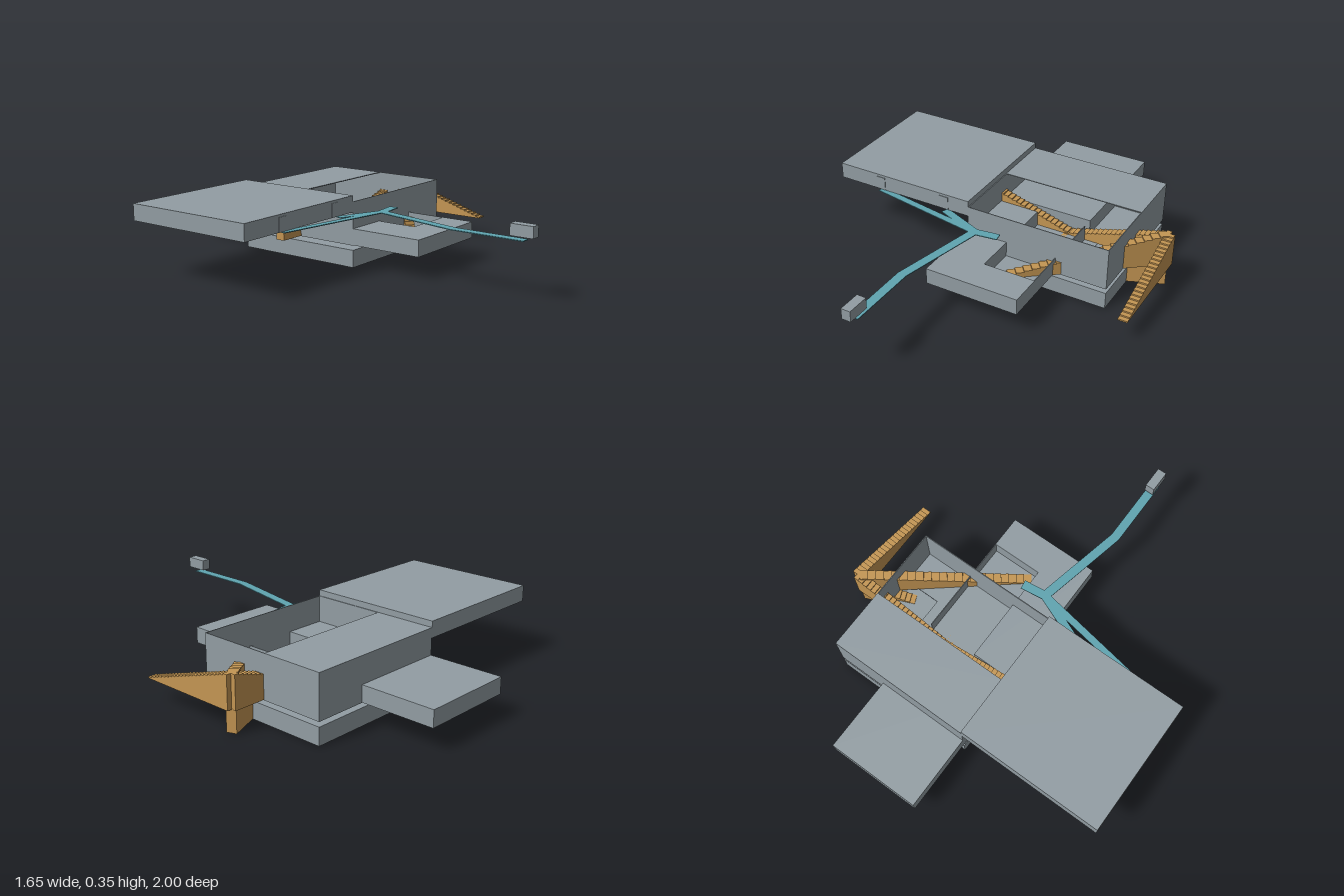
import * as THREE from 'three';

export function createModel() {
  const model = new THREE.Group();
  const gray = new THREE.MeshStandardMaterial({ color: 0x929da3 });
  gray.name = 'grayVolume';
  const orange = new THREE.MeshStandardMaterial({ color: 0xc49653 });
  orange.name = 'orangeStair';
  const teal = new THREE.MeshStandardMaterial({ color: 0x5fa4b0 });
  teal.name = 'tealPath';

  const add = (name, geometry, material) => {
    const mesh = new THREE.Mesh(geometry, material);
    mesh.name = name;
    model.add(mesh);
    return mesh;
  };

  // Box given by its limits on each axis
  const box = (name, x0, x1, y0, y1, z0, z1, material = gray) =>
    add(name, new THREE.BoxGeometry(x1 - x0, y1 - y0, z1 - z0), material)
      .position.set((x0 + x1) / 2, (y0 + y1) / 2, (z0 + z1) / 2);

  // Solid stepped flight falling from the first plan point to the second
  const stair = (name, [x0, z0], [x1, z1], base, rise, steps = 22, width = 0.047) => {
    const length = Math.hypot(x1 - x0, z1 - z0);
    const shape = new THREE.Shape();
    shape.moveTo(0, 0);
    shape.lineTo(length, 0);
    for (let i = 1; i <= steps; i++) {
      const y = rise * i / steps;
      shape.lineTo(length * (1 - (i - 1) / steps), y);
      shape.lineTo(length * (1 - i / steps), y);
    }
    shape.closePath();
    const geometry = new THREE.ExtrudeGeometry(shape, { depth: width, bevelEnabled: false });
    geometry.translate(0, 0, -width / 2);
    const mesh = add(name, geometry, orange);
    mesh.position.set(x0, base, z0);
    mesh.rotation.y = -Math.atan2(z1 - z0, x1 - x0);
  };

  // Flat strip along a run of plan points
  const path = (name, points, width = 0.045) => {
    for (let i = 1; i < points.length; i++) {
      const [x0, z0] = points[i - 1], [x1, z1] = points[i];
      const length = Math.hypot(x1 - x0, z1 - z0);
      const mesh = add(name, new THREE.BoxGeometry(length + 0.008, 0.004, width), teal);
      mesh.position.set((x0 + x1) / 2, 0.268, (z0 + z1) / 2);
      mesh.rotation.y = -Math.atan2(z1 - z0, x1 - x0);
    }
  };

  // Base and upper wing
  box('base', -0.09, 0.64, 0, 0.085, -0.63, 0.05);
  box('upperWing', -0.83, -0.09, 0.27, 0.35, -0.63, 0.05);

  // Main hall: thin walls, half roof, floor with a stair opening
  const t = 0.004;
  box('hallFrontWall', -0.09, 0.64, 0.11, 0.32, 0.05 - t, 0.05);
  box('hallBackWall', -0.09, 0.64, 0.11, 0.32, -0.63, -0.63 + t);
  box('hallLeftWall', 0.64 - t, 0.64, 0.11, 0.32, -0.63, 0.05);
  box('hallRightWall', -0.09, -0.09 + t, 0.11, 0.32, -0.63, 0.05);
  box('hallRoof', -0.09, 0.64, 0.32 - t, 0.32, -0.63, -0.32);
  box('hallFloor', -0.09, 0.45, 0.108, 0.112, -0.63, 0.05);
  box('hallFloorBack', 0.45, 0.64, 0.108, 0.112, -0.63, -0.27);
  box('hallFloorFront', 0.45, 0.64, 0.108, 0.112, -0.135, 0.05);

  // Cross wing with a stair well
  box('crossWingBack', -0.09, 0.38, 0.11, 0.19, -1, -0.32);
  box('crossWingSide', -0.09, 0.12, 0.11, 0.19, -0.265, 0.42);
  box('crossWingFront', 0.12, 0.38, 0.11, 0.19, 0.255, 0.42);
  box('stairWellWall', 0.38 - t, 0.38, 0.11, 0.19, -0.265, 0.255);
  box('stairWellFloor', 0.12, 0.38, 0.11, 0.114, 0.05, 0.255);

  // Flights of stairs
  stair('outerStair', [0.8, -0.29], [0.8, 0.23], 0.11, 0.16);
  stair('diagonalStair', [0.785, -0.285], [0.145, 0.235], 0.11, 0.16);
  stair('hallStair', [0.8, -0.29], [0.27, -0.29], 0.11, 0.16);
  stair('wingStair', [-0.22, -0.293], [0.31, -0.293], 0.11, 0.16);
  stair('lowerStair', [0.8, -0.285], [0.3, -0.08], 0.002, 0.16);
  box('stairPost', 0.255, 0.29, 0.08, 0.112, -0.33, -0.2, orange);

  // Footpaths and the small outlying hut
  path('mainPath', [[-0.093, 0.95], [-0.093, 0.6], [0.005, 0.15], [0.12, 0.135]]);
  path('longBranch', [[0.0, 0.15], [-0.59, 0.05]], 0.035);
  path('shortBranch', [[0.01, 0.15], [-0.21, 0.06]], 0.04);
  box('hut', -0.116, -0.07, 0.285, 0.338, 0.89, 1);

  // Doors on the upper wing
  for (const x of [-0.592, -0.226]) box('door', x - 0.025, x + 0.025, 0.272, 0.338, 0.05, 0.053);

  return model;
}
